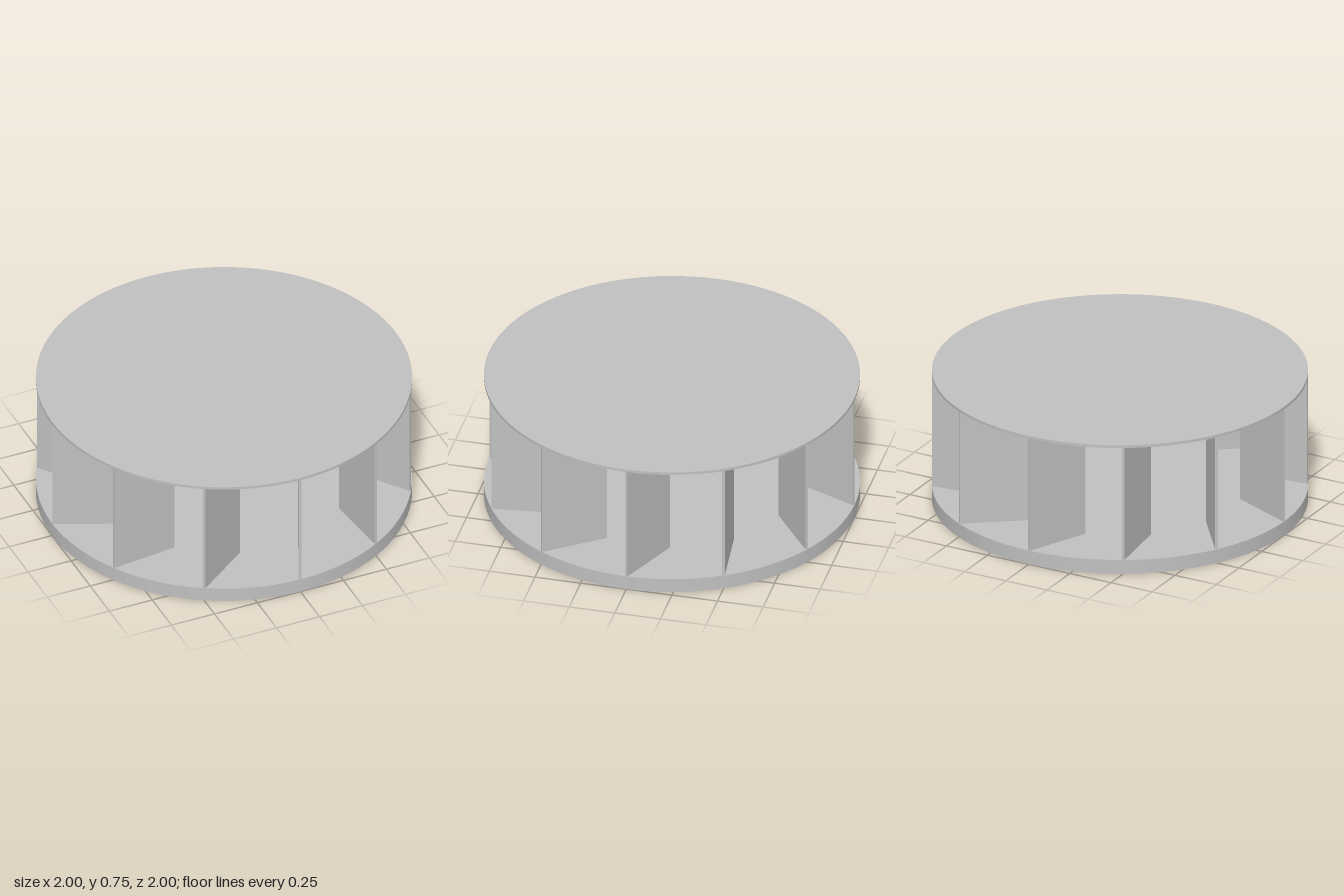
import * as THREE from 'three';

const BASE_H = 0.08, TOP_Y = 0.73, TOTAL_H = 0.745, BLADES = 12;

export function createModel() {
  const group = new THREE.Group();
  group.name = 'bladeWheel';
  const metal = new THREE.MeshStandardMaterial({ color: 0xc0c0c0 });
  metal.name = 'grey metal';

  // Round plates: thick base and thin cover
  const addDisc = (name, y0, y1) => {
    const disc = new THREE.Mesh(new THREE.CylinderGeometry(1, 1, y1 - y0, 96), metal);
    disc.name = name;
    disc.position.y = (y0 + y1) / 2;
    group.add(disc);
  };
  addDisc('basePlate', 0, BASE_H);
  addDisc('coverPlate', TOP_Y, TOTAL_H);

  // Slanted upright blades from the rim inwards
  const outer = new THREE.Vector2(0, 0.996);
  const inner = new THREE.Vector2(0.148, 0.655);
  const run = inner.clone().sub(outer);
  const bladeGeometry = new THREE.BoxGeometry(0.015, TOP_Y - BASE_H, run.length());
  bladeGeometry.rotateY(Math.atan2(run.x, run.y));
  bladeGeometry.translate((outer.x + inner.x) / 2, (BASE_H + TOP_Y) / 2, (outer.y + inner.y) / 2);
  for (let i = 0; i < BLADES; i++) {
    const blade = new THREE.Mesh(bladeGeometry, metal);
    blade.name = `blade${i + 1}`;
    blade.rotation.y = (i / BLADES) * Math.PI * 2;
    group.add(blade);
  }
  return group;
}
